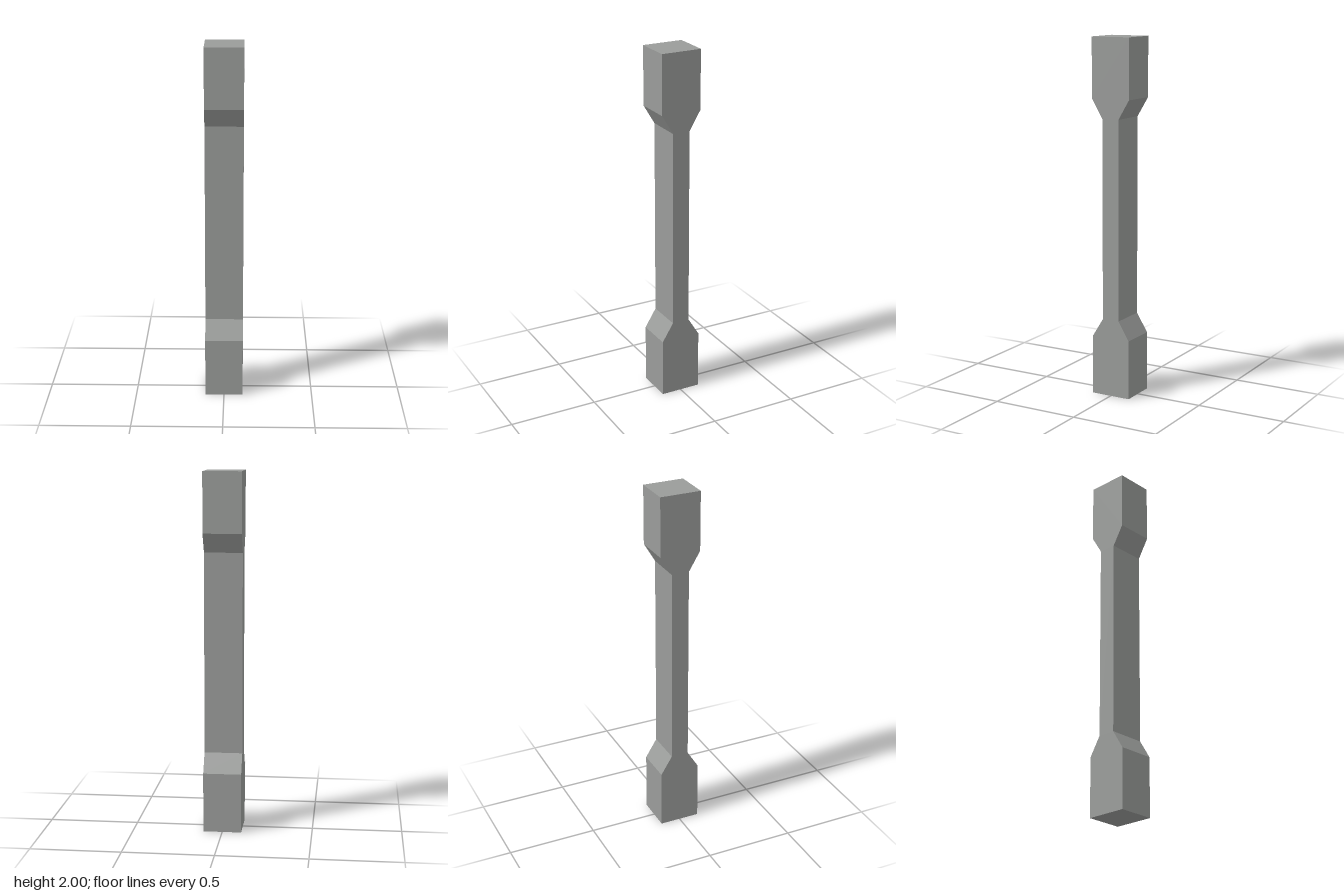
import * as THREE from 'three';

const WIDTH = 0.212;

export function createModel() {
  const group = new THREE.Group();
  group.name = 'pillar';
  const stone = new THREE.MeshStandardMaterial({ color: 0x9a9c9a });
  stone.name = 'grey stone';

  // Side outline: square ends tapering to a thin shaft, mirrored front to back
  const half = [[0.115, 0], [0.115, 0.335], [0.05, 0.44], [0.05, 1.56], [0.115, 1.668], [0.115, 2]];
  const mirrored = half.map(([z, y]) => [-z, y]).reverse();
  const outline = new THREE.Shape([...half, ...mirrored].map(([z, y]) => new THREE.Vector2(z, y)));

  // Extrude across the width and turn the outline to face sideways
  const geometry = new THREE.ExtrudeGeometry(outline, { depth: WIDTH, bevelEnabled: false });
  geometry.translate(0, 0, -WIDTH / 2);
  geometry.rotateY(Math.PI / 2);

  const column = new THREE.Mesh(geometry, stone);
  column.name = 'column';
  group.add(column);
  return group;
}
